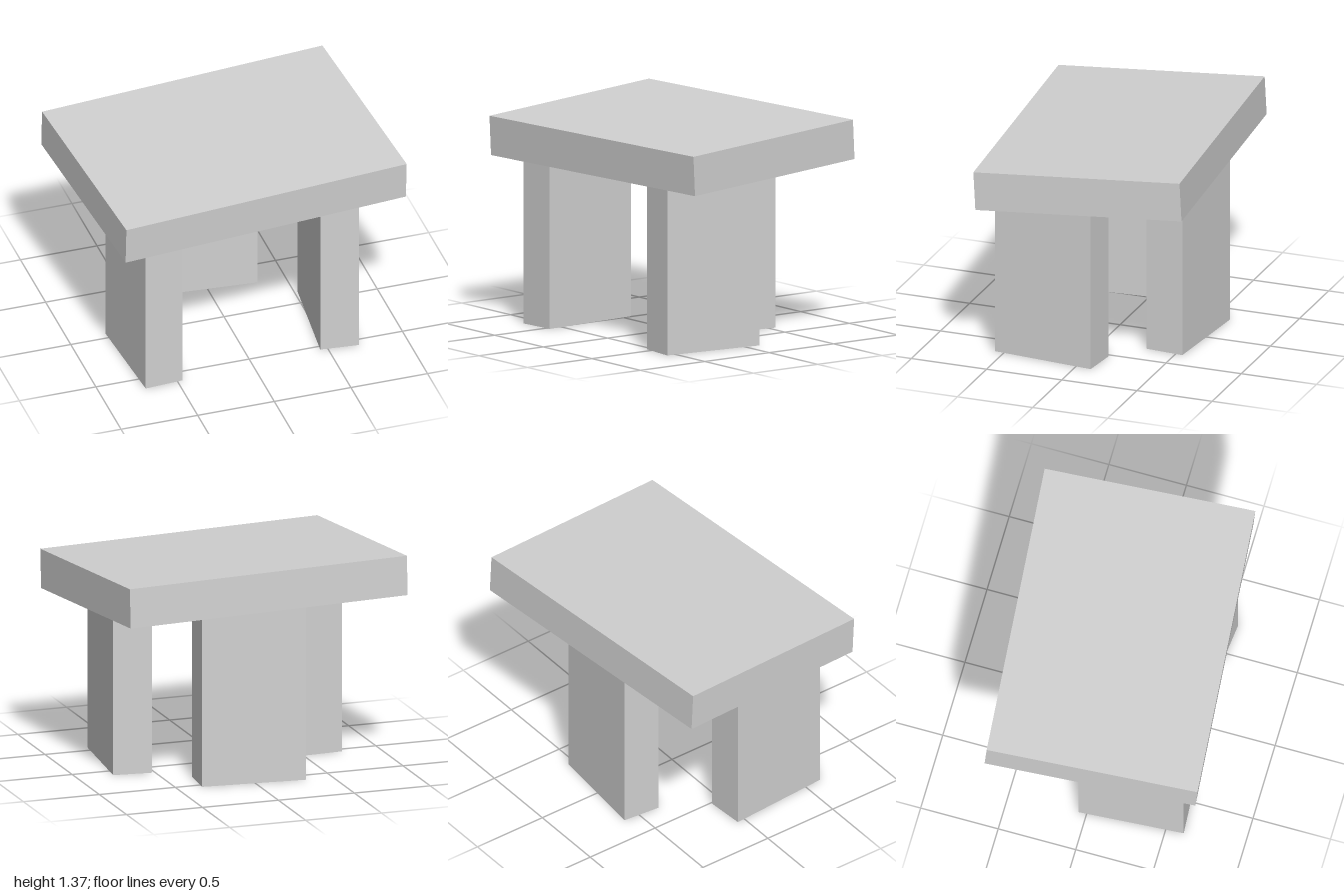
import * as THREE from 'three';

export function createModel() {
  const group = new THREE.Group();
  const stone = new THREE.MeshStandardMaterial({ color: 0xd1d1d1 });
  stone.name = 'pale stone grey';

  const addBlock = (name, size, position, yaw, pitch = 0) => {
    const mesh = new THREE.Mesh(new THREE.BoxGeometry(...size), stone);
    mesh.name = name;
    mesh.position.set(...position);
    mesh.rotation.set(pitch, yaw, 0, 'YXZ');
    group.add(mesh);
  };

  // Cap slab, turned slightly and sloping down to the front
  addBlock('capSlab', [1.89, 0.25, 1.333], [0, 1.21, 0], 0.0865, 0.0526);

  // Three upright stones, each turned a little, with tops set into the slab
  const height = 1.15;
  const uprights = [
    ['rightUpright', 0.246, 0.667, -0.612, 0.273, 0.067],
    ['leftUpright', 0.246, 0.667, 0.609, 0.2175, -0.104],
    ['backUpright', 0.667, 0.246, -0.003, -0.4525, -0.088],
  ];
  for (const [name, width, depth, x, z, yaw] of uprights) {
    addBlock(name, [width, height, depth], [x, height / 2, z], yaw);
  }
  return group;
}
